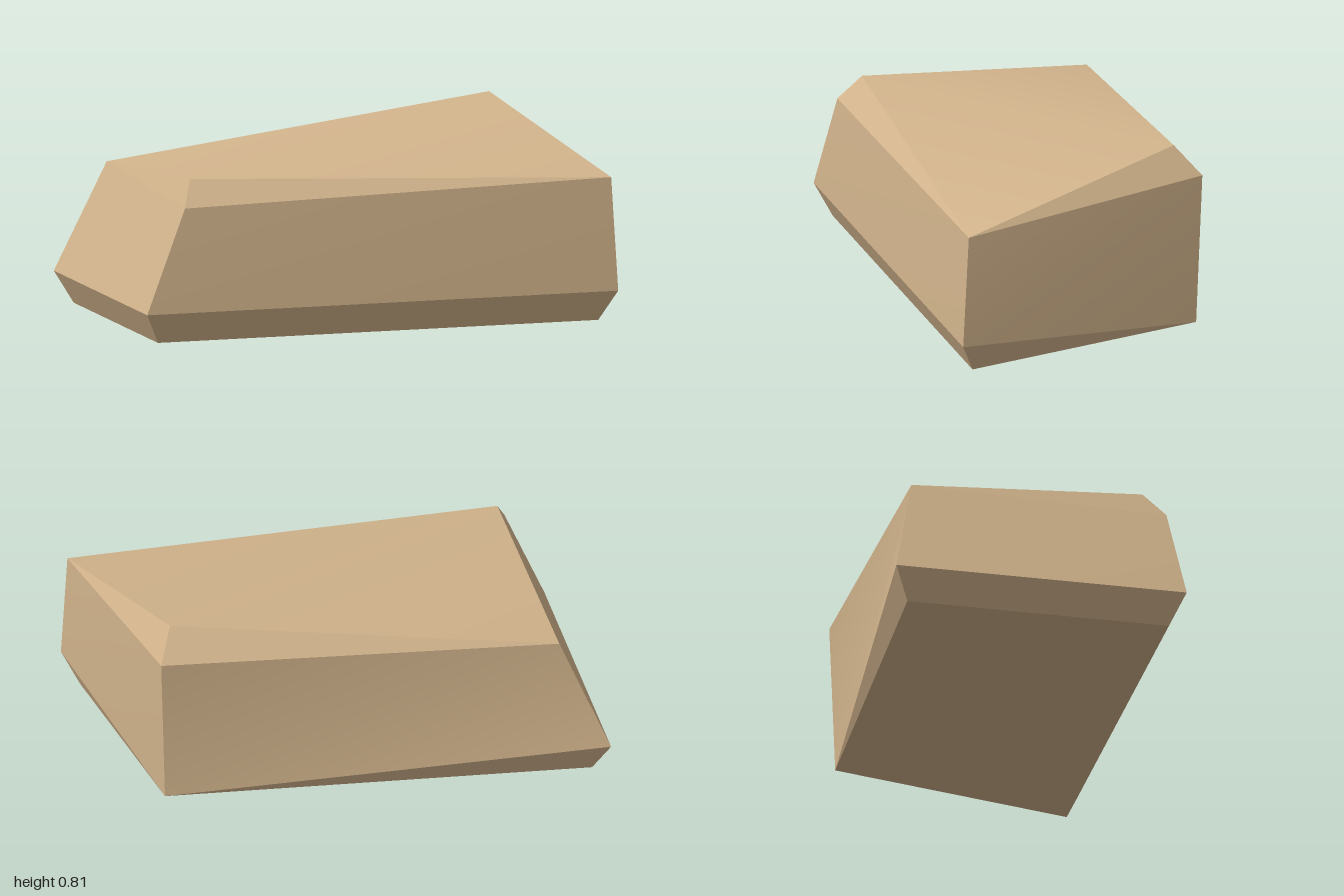
import * as THREE from 'three';
import { mergeGeometries } from 'three/addons/utils/BufferGeometryUtils.js';

// Corners by level; F/B = front/back, L/R = -x/+x
const P = {
  baseFL: [-0.935, 0, 0.54], baseFR: [0.935, 0, 0.54], baseBL: [-0.935, 0, -0.54],
  lowFL: [-1, 0.125, 0.6], lowFR: [1, 0.125, 0.6], lowBR: [0.81, 0.05, -0.445], lowBL: [-1, 0.125, -0.6],
  highFL: [-0.825, 0.545, 0.555], highFR: [0.98, 0.585, 0.57], highBR: [0.83, 0.685, -0.465], highBL: [-0.81, 0.578, -0.495],
  topFL: [-0.775, 0.65, 0.467], topBR: [0.77, 0.805, -0.363],
};

// Each facet runs counter-clockwise from its lower left corner
const facets = [
  // underside and lower chamfers
  ['baseBL', 'lowBR', 'baseFR', 'baseFL'],
  ['baseFL', 'baseFR', 'lowFR', 'lowFL'],
  ['baseFR', 'lowBR', 'lowFR'],
  ['lowBR', 'baseBL', 'lowBL'],
  ['baseBL', 'baseFL', 'lowFL', 'lowBL'],
  // sides
  ['lowFL', 'lowFR', 'highFR', 'highFL'],
  ['lowFR', 'lowBR', 'highBR', 'highFR'],
  ['lowBR', 'lowBL', 'highBL', 'highBR'],
  ['lowBL', 'lowFL', 'highFL', 'highBL'],
  // upper chamfers and top
  ['highFL', 'highFR', 'topFL'],
  ['highFR', 'highBR', 'topBR'],
  ['highBR', 'highBL', 'topBR'],
  ['highBL', 'highFL', 'topFL'],
  ['topFL', 'highFR', 'topBR', 'highBL'],
];

// One facet, smooth within itself and sharp at its edges
function facet(names) {
  const g = new THREE.BufferGeometry();
  g.setAttribute('position', new THREE.Float32BufferAttribute(names.flatMap((n) => P[n]), 3));
  g.setIndex(names.length === 4 ? [0, 1, 2, 0, 2, 3] : [0, 1, 2]);
  g.computeVertexNormals();
  return g;
}

export function createModel() {
  const group = new THREE.Group();
  group.name = 'rock';
  const sandstone = new THREE.MeshStandardMaterial({ color: 0xd2b48c });
  sandstone.name = 'sandstone';
  const stone = new THREE.Mesh(mergeGeometries(facets.map(facet)), sandstone);
  stone.name = 'stoneBlock';
  group.add(stone);
  return group;
}
